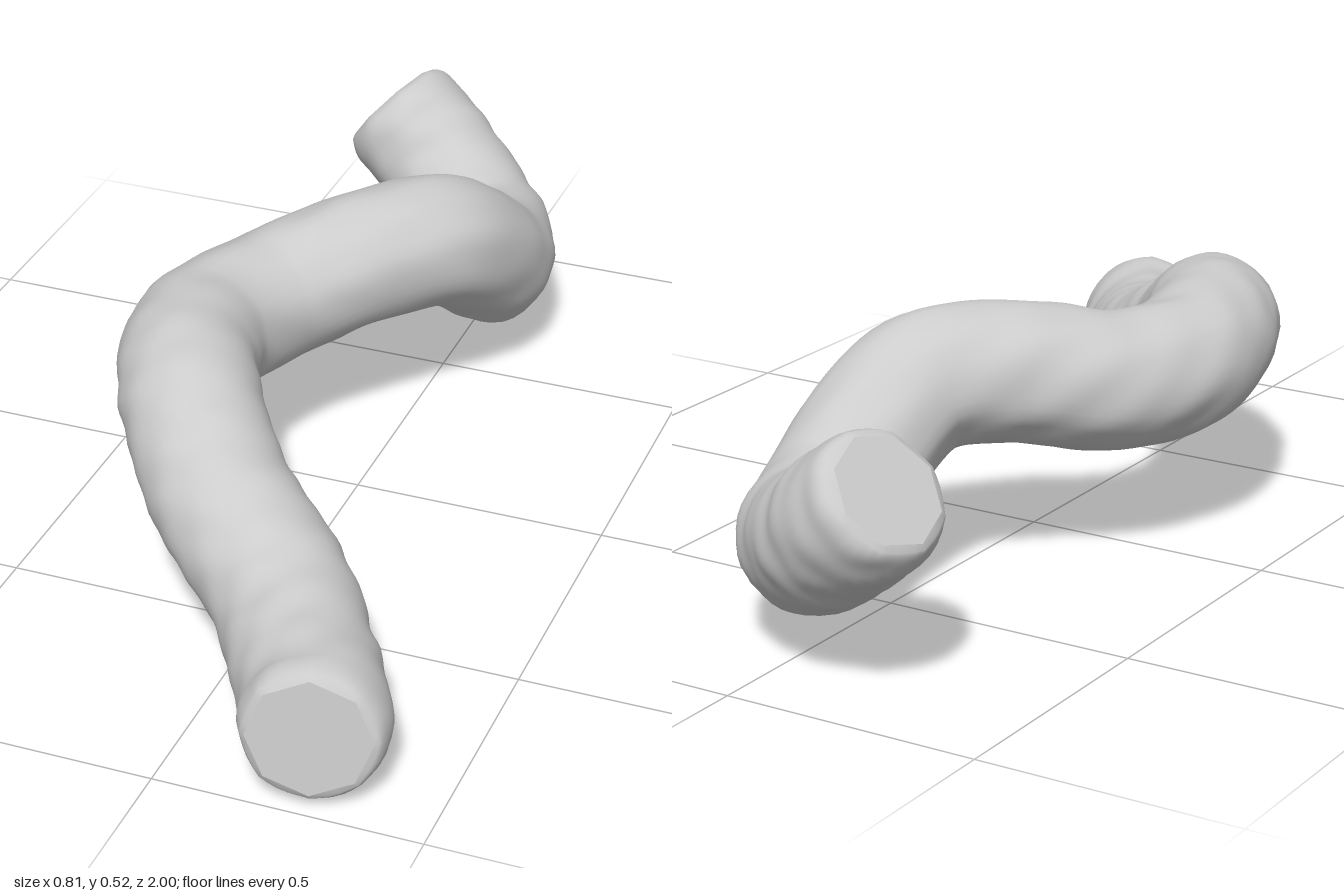
import * as THREE from 'three';

const RINGS = 200, SIDES = 40, BODY = 0.132, FRONT_END = 0.112, BACK_END = 0.106;

// Centre line from the front end to the back end
const path = new THREE.CatmullRomCurve3([
  [0.285, 0.147, 0.967], [0.267, 0.139, 0.89], [0.2, 0.139, 0.77], [0.09, 0.178, 0.615], [-0.075, 0.27, 0.49],
  [-0.195, 0.355, 0.34], [-0.258, 0.362, 0.2], [-0.27, 0.35, 0.08], [-0.21, 0.35, -0.08],
  [-0.075, 0.385, -0.23], [0.03, 0.378, -0.36], [0.065, 0.29, -0.5], [0.065, 0.22, -0.6],
  [0.025, 0.2, -0.72], [-0.08, 0.25, -0.82], [-0.17, 0.318, -0.868], [-0.255, 0.387, -0.888],
].map((p) => new THREE.Vector3(...p)));

// Small soft lumps over the surface
const lumps = (p) => 0.0011 * (
  Math.sin(61 * p.x + 37 * p.y + 19 * p.z) + Math.sin(53 * p.y - 47 * p.z + 1.3)
  + Math.sin(39 * p.z + 57 * p.x - 49 * p.y + 2.1) + Math.sin(29 * p.x - 33 * p.y + 23 * p.z));

// Radius of an eight-sided outline at angle a
const octagon = (a) => {
  const step = Math.PI / 4;
  return Math.cos(step / 2) / Math.cos((a % step) - step / 2);
};

function buildRings() {
  const frames = path.computeFrenetFrames(RINGS, false);
  const length = path.getLength();
  const rings = [];
  for (let i = 0; i <= RINGS; i++) {
    // Rings crowd together towards both ends; frames are interpolated to match
    const t = i / RINGS, u = t - 0.09 * Math.sin(2 * Math.PI * t);
    const f = Math.min(Math.floor(u * RINGS), RINGS - 1), k = u * RINGS - f;
    const centre = path.getPointAt(Math.min(1, Math.max(0, u)));
    const n = frames.normals[f].clone().lerp(frames.normals[f + 1], k).normalize();
    const b = frames.binormals[f].clone().lerp(frames.binormals[f + 1], k).normalize();
    const d = Math.min(u, 1 - u) * length;
    const round = Math.sqrt(1 - Math.max(0, 1 - d / 0.06) ** 2);
    const end = u < 0.5 ? FRONT_END : BACK_END;
    const ring = [];
    for (let j = 0; j < SIDES; j++) {
      const a = (j / SIDES) * Math.PI * 2;
      const dir = n.clone().multiplyScalar(Math.cos(a)).addScaledVector(b, Math.sin(a));
      const r = THREE.MathUtils.lerp(end * octagon(a), BODY, round);
      const p = centre.clone().addScaledVector(dir, r);
      ring.push(p.addScaledVector(dir, lumps(p) * round));
    }
    rings.push(ring);
  }
  return rings;
}

function makeGeometry(points, index) {
  const g = new THREE.BufferGeometry().setFromPoints(points);
  g.setIndex(index);
  g.computeVertexNormals();
  return g;
}

// Smooth skin between neighbouring rings
function skin(rings) {
  const index = [];
  for (let i = 0; i < RINGS; i++) {
    for (let j = 0; j < SIDES; j++) {
      const k = (j + 1) % SIDES;
      const a = i * SIDES + j, b = i * SIDES + k;
      index.push(a, b, a + SIDES, b, b + SIDES, a + SIDES);
    }
  }
  return makeGeometry(rings.flat(), index);
}

// Flat disc that closes one end
function cap(ring, flip) {
  const centre = ring.reduce((s, p) => s.add(p), new THREE.Vector3()).divideScalar(SIDES);
  const index = [];
  for (let j = 0; j < SIDES; j++) {
    const k = (j + 1) % SIDES;
    index.push(SIDES, flip ? k : j, flip ? j : k);
  }
  return makeGeometry([...ring, centre], index);
}

export function createModel() {
  const group = new THREE.Group();
  group.name = 'windingTube';
  const material = new THREE.MeshStandardMaterial({ color: 0xcccccc });
  const add = (name, geometry) => {
    const mesh = new THREE.Mesh(geometry, material);
    mesh.name = name;
    group.add(mesh);
  };

  const rings = buildRings();
  add('tubeBody', skin(rings));
  add('frontCap', cap(rings[0], true));
  add('backCap', cap(rings[RINGS], false));

  // Stand on the ground, centred
  const box = new THREE.Box3().setFromObject(group);
  const mid = box.getCenter(new THREE.Vector3());
  group.children.forEach((m) => m.geometry.translate(-mid.x, -box.min.y, -mid.z));
  return group;
}
